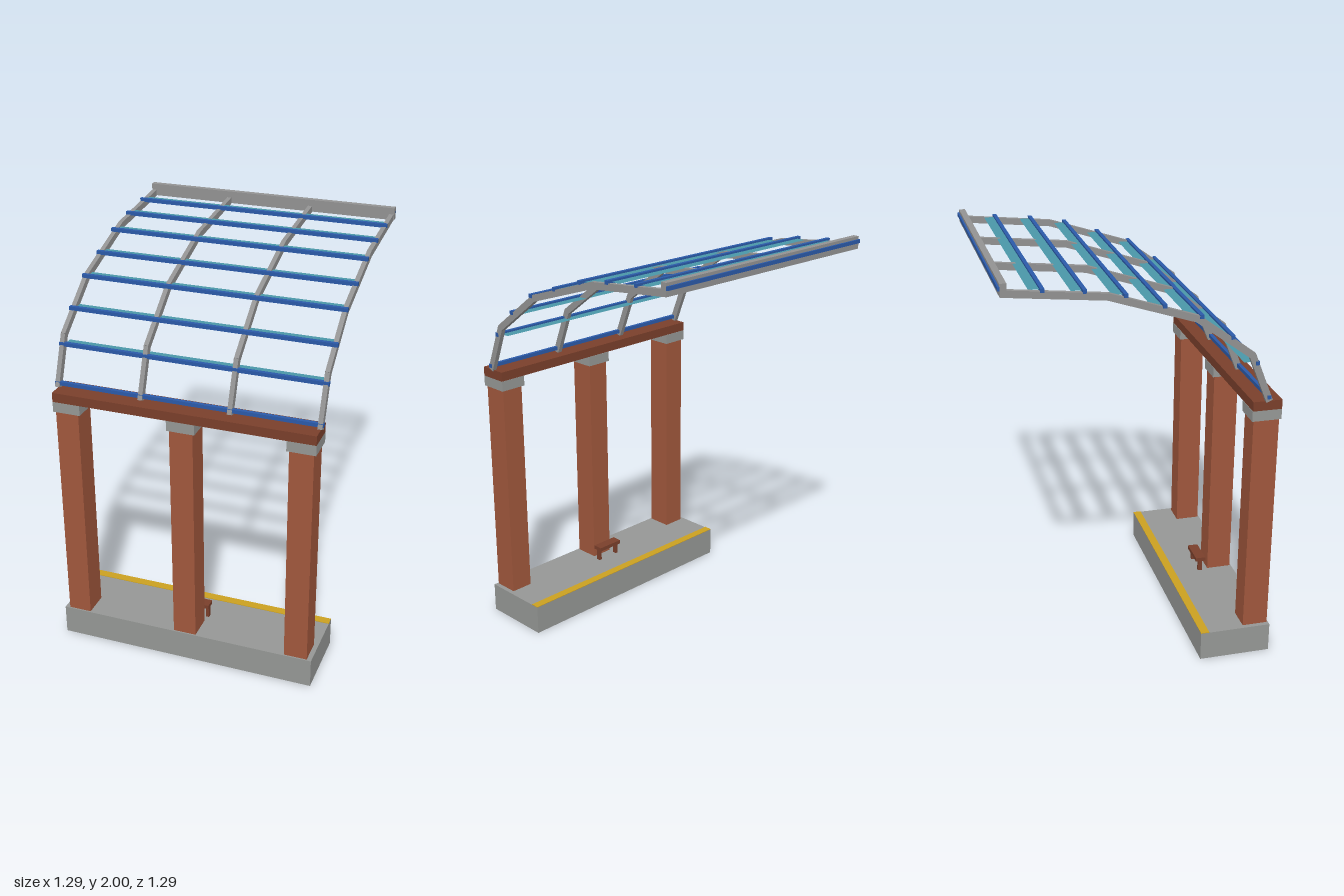
import * as THREE from 'three';

const mat = (name, color, side = THREE.FrontSide) => {
  const m = new THREE.MeshStandardMaterial({ color, side });
  m.name = name;
  return m;
};

export function createModel() {
  const group = new THREE.Group();
  const concrete = mat('concrete', 0x959795, THREE.DoubleSide);
  const steel = mat('steel', 0x929292);
  const brick = mat('brick', 0xa0573c);
  const wood = mat('dark wood', 0x7a3f2b, THREE.DoubleSide);
  const blue = mat('blue paint', 0x2b5aa9);
  const teal = mat('teal glass', 0x4a96a7, THREE.DoubleSide);
  const yellow = mat('yellow paint', 0xcba021);

  const add = (name, geometry, material) => {
    const mesh = new THREE.Mesh(geometry, material);
    mesh.name = name;
    group.add(mesh);
    return mesh;
  };

  // Box given by its lower and upper bounds; hollow ones have no underside
  const box = (name, material, [x0, x1], [y0, y1], [z0, z1], hollow = false) => {
    const g = new THREE.BoxGeometry(x1 - x0, y1 - y0, z1 - z0);
    if (hollow) {
      const index = Array.from(g.index.array);
      index.splice(18, 6);
      g.setIndex(index);
      g.clearGroups();
    }
    g.translate((x0 + x1) / 2, (y0 + y1) / 2, (z0 + z1) / 2);
    return add(name, g, material);
  };
  const full = [-0.647, 0.647];

  // Platform with its edge marking
  box('platform', concrete, full, [0, 0.147], [0.29, 0.645], true);
  box('platformEdgeStripe', yellow, full, [0.147, 0.15], [0.29, 0.332]);

  // Columns with capitals, carrying the long beam
  for (const x of [-0.567, 0, 0.567]) {
    box('column', brick, [x - 0.057, x + 0.057], [0.147, 1.3], [0.513, 0.638]);
    box('capital', concrete, [x - 0.068, x + 0.068], [1.255, 1.306], [0.503, 0.645], true);
  }
  box('beam', wood, [-0.635, 0.635], [1.306, 1.352], [0.505, 0.645], true);

  // Bench
  box('benchSeat', wood, [-0.073, 0.071], [0.205, 0.225], [0.443, 0.495]);
  for (const x of [-0.06, 0.06]) {
    box('benchLeg', wood, [x - 0.008, x + 0.008], [0.147, 0.205], [0.458, 0.48]);
  }

  // Curved rafters, each a chain of straight bars; points are [z, y]
  const path = [[0.577, 1.357], [0.487, 1.583], [0.226, 1.776], [-0.175, 1.907], [-0.63, 1.955]];
  for (const x of [-0.634, -0.217, 0.215, 0.632]) {
    for (let i = 0; i < path.length - 1; i++) {
      const [z0, y0] = path[i], [z1, y1] = path[i + 1];
      const length = Math.hypot(z1 - z0, y1 - y0) + (i < 3 ? 0.008 : 0);
      const bar = add('rafter', new THREE.BoxGeometry(0.022, 0.032, length), steel);
      bar.position.set(x, (y0 + y1) / 2, (z0 + z1) / 2);
      bar.rotation.x = Math.atan2(y1 - y0, z0 - z1);
    }
  }

  // Purlins; every one but the lowest has a flat glass louvre behind it
  const purlins = [[0.576, 1.374], [0.512, 1.545], [0.391, 1.677], [0.243, 1.785],
    [0.075, 1.846], [-0.098, 1.907], [-0.277, 1.939], [-0.458, 1.957]];
  purlins.forEach(([z, y], i) => {
    box('purlin', blue, full, [y - 0.009, y + 0.009], [z - 0.009, z + 0.009]);
    if (i === 0) return;
    const louvre = new THREE.PlaneGeometry(1.246, 0.056);
    louvre.rotateX(-Math.PI / 2).translate(0, y, z - 0.028);
    add('louvre', louvre, teal);
  });

  // Gutter beam along the free edge, with a blue trim behind
  box('edgeBeam', steel, full, [1.94, 2], [-0.637, -0.607]);
  box('edgeTrim', blue, full, [1.968, 1.986], [-0.646, -0.637]);

  return group;
}
